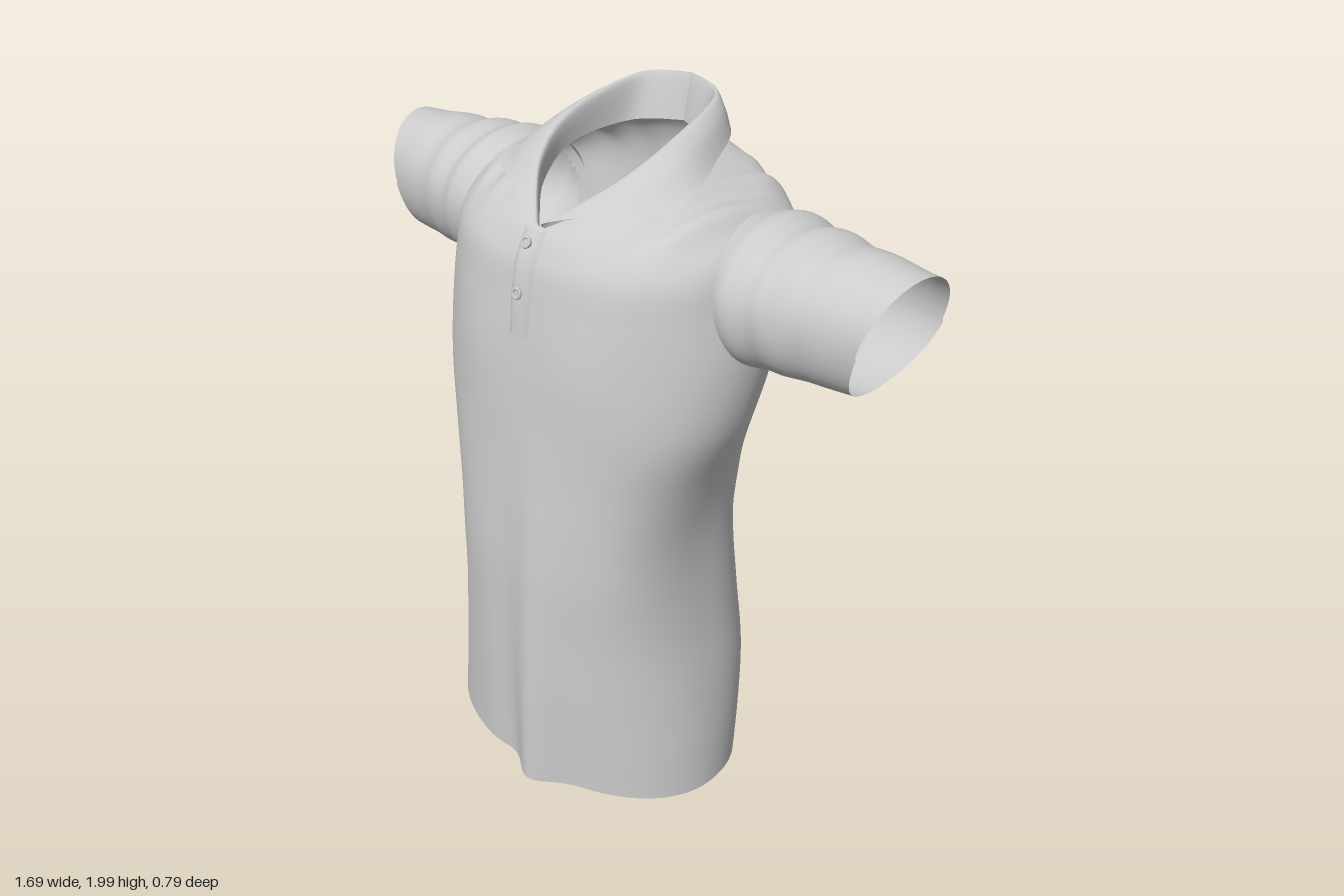
import * as THREE from 'three';

const cloth = new THREE.MeshStandardMaterial({ color: 0xcccccc, side: THREE.DoubleSide });
const solid = new THREE.MeshStandardMaterial({ color: 0xcccccc });

// Catmull-Rom interpolation of equally long rows of numbers, t in 0..1
function spline(rows, t) {
  const n = rows.length - 1, f = Math.min(t * n, n - 1e-6), i = Math.floor(f), u = f - i;
  const at = k => rows[Math.max(0, Math.min(n, k))];
  const [a, b, c, d] = [at(i - 1), at(i), at(i + 1), at(i + 2)];
  return b.map((v, k) => v + 0.5 * u * (c[k] - a[k] + u * (2 * a[k] - 5 * v + 4 * c[k] - d[k]
    + u * (3 * (v - c[k]) + d[k] - a[k]))));
}

// Grid surface from point(u, v); closed joins u = 1 to u = 0; skip leaves holes
function surface(name, nu, nv, point, closed = false, skip = () => false) {
  const pos = [], index = [], cols = closed ? nu : nu + 1;
  for (let j = 0; j <= nv; j++)
    for (let i = 0; i < cols; i++) pos.push(...point(i / nu, j / nv));
  for (let j = 0; j < nv; j++)
    for (let i = 0; i < nu; i++) {
      const a = j * cols + i, b = j * cols + (i + 1) % cols, c = a + cols, d = b + cols;
      const mid = [0, 1, 2].map(k => (pos[a * 3 + k] + pos[b * 3 + k] + pos[c * 3 + k] + pos[d * 3 + k]) / 4);
      if (!skip(mid)) index.push(a, c, b, b, c, d);
    }
  const g = new THREE.BufferGeometry();
  g.setAttribute('position', new THREE.Float32BufferAttribute(pos, 3));
  g.setIndex(index);
  g.computeVertexNormals();
  const mesh = new THREE.Mesh(g, cloth);
  mesh.name = name;
  return mesh;
}

const bump = (x, width) => Math.exp(-((x / width) ** 2));
const power = (v, e) => Math.sign(v) * Math.abs(v) ** e;

// y front, y side, y back, half width right, half width left, z front, z back, z of widest line,
// front exponent, back exponent (below 1 is squarer, above 1 more pointed)
const bodyRows = [
  [0.13, 0.10, 0.01, 0.48, 0.43, 0.35, -0.32, 0.02, 1, 1],
  [0.27, 0.25, 0.22, 0.46, 0.42, 0.352, -0.345, 0.01, 0.97, 0.97],
  [0.43, 0.42, 0.41, 0.435, 0.40, 0.354, -0.36, 0, 0.92, 0.92],
  [0.62, 0.62, 0.62, 0.40, 0.37, 0.352, -0.325, 0, 0.84, 0.83],
  [0.80, 0.80, 0.80, 0.38, 0.355, 0.35, -0.27, 0, 0.76, 0.7],
  [0.95, 0.95, 0.95, 0.385, 0.36, 0.343, -0.245, 0, 0.75, 0.68],
  [1.10, 1.10, 1.10, 0.415, 0.39, 0.335, -0.315, 0.01, 0.82, 0.95],
  [1.28, 1.28, 1.28, 0.455, 0.45, 0.325, -0.365, 0.01, 0.92, 1.15],
  [1.45, 1.45, 1.45, 0.47, 0.47, 0.31, -0.38, -0.02, 0.95, 1.02],
  [1.56, 1.60, 1.60, 0.46, 0.46, 0.295, -0.38, -0.07, 0.88, 0.82],
  [1.65, 1.71, 1.73, 0.44, 0.44, 0.28, -0.375, -0.1, 0.85, 0.74],
  [1.70, 1.79, 1.81, 0.37, 0.37, 0.26, -0.36, -0.09, 0.9, 0.8],
  [1.74, 1.83, 1.86, 0.27, 0.27, 0.235, -0.335, -0.06, 1, 0.9],
  [1.76, 1.87, 1.89, 0.17, 0.17, 0.20, -0.30, -0.04, 1, 1],
];

function bodyPoint(u, v) {
  const [yF, yS, yB, wR, wL, zF, zB, zS, eF, eB] = spline(bodyRows, v);
  const a = u * Math.PI * 2, c = Math.cos(a), s = Math.sin(a), front = s > 0;
  const k = front ? eF : eB;
  const x = power(c, k) * (c > 0 ? wL : wR);
  let y = yS + ((front ? yF : yB) - yS) * s * s;
  let z = zS + (front ? zF - zS : zS - zB) * power(s, k);
  if (front) {
    // Pleat running up from the hem, and shallow folds on the chest
    const low = Math.max(0, 1 - y / 1.25);
    z += s * low * (0.055 * bump(x - 0.06, 0.07) - 0.015 * bump(x + 0.04, 0.06));
    z += s * 0.01 * bump(Math.abs(x) - 0.2, 0.12) * bump(y - 1.42, 0.14);
  } else {
    // Swags hanging in a V across the back, over a hollow at the waist
    const w = y - 0.93 - 1.2 * (Math.hypot(x, 0.12) - 0.12);
    z += s * 0.012 * Math.sin(w * 27 + x * 2) * bump(w - 0.1, 0.24);
    z -= s * 0.025 * bump(x, 0.16) * bump(y - 0.92, 0.1);
    // Ridges below the neck and waves at the hem
    z += s * 0.012 * Math.cos(x * 34 + 0.5) * bump(y - 1.55, 0.22) * bump(x, 0.28);
    z += s * 0.01 * Math.sin(x * 15 + 1) * bump(y - 0.2, 0.3);
  }
  // Gathers on the shoulders
  y += 0.009 * Math.sin(x * 60 + z * 14) * bump(y - 1.8, 0.06) * bump(Math.abs(x) - 0.32, 0.12);
  return [x, y, z];
}

const inArmhole = ([x, y, z]) =>
  Math.abs(x) > 0.34 && ((y - 1.615) / 0.16) ** 2 + ((z + 0.115) / 0.175) ** 2 < 1;

// x, centre y, centre z, half height, half depth
const sleeveRows = [
  [0.36, 1.622, -0.115, 0.163, 0.19],
  [0.44, 1.62, -0.115, 0.18, 0.21],
  [0.54, 1.615, -0.115, 0.172, 0.195],
  [0.66, 1.61, -0.12, 0.165, 0.172],
  [0.80, 1.605, -0.12, 0.155, 0.148],
];

function sleeve(side) {
  return surface(side > 0 ? 'leftSleeve' : 'rightSleeve', 72, 44, (u, v) => {
    const [x0, cy, cz, h, d] = spline(sleeveRows, v);
    const a = u * Math.PI * 2, s = Math.sin(a), c = Math.cos(a);
    // Slanted cuff, and creases that die out at both ends
    const x = x0 + v * v * (0.045 * s - 0.02 * c - (s < 0 ? 0.01 * s * s : 0.005));
    const r = 1 + 0.04 * Math.sin(v * 24 + 2.2 * Math.sin(a + 0.7 * side)) * bump(v - 0.48, 0.3) * (0.6 + 0.4 * s);
    const z = cz + d * r * c + 0.03 * (s < 0 ? s * s : 0);
    return [side * x, cy + h * r * s, z];
  }, true);
}

// Collar from the back centre round to the front: neck seam, fold, outer edge
const collarSeam = [[0, 1.88, -0.29], [0.12, 1.87, -0.22], [0.155, 1.85, -0.04], [0.12, 1.79, 0.1], [0.015, 1.74, 0.215]];
const collarFold = [[0, 1.995, -0.315], [0.12, 1.98, -0.26], [0.16, 1.93, -0.05], [0.125, 1.86, 0.1], [0.015, 1.765, 0.235]];
const collarEdge = [[0, 1.91, -0.34], [0.16, 1.90, -0.28], [0.24, 1.87, -0.12], [0.285, 1.84, 0], [0.285, 1.81, 0.095]];

function collarHalf(side) {
  return surface(side > 0 ? 'collarLeft' : 'collarRight', 40, 18, (u, v) => {
    const seam = spline(collarSeam, u), fold = spline(collarFold, u), edge = spline(collarEdge, u);
    const mid = fold.map((f, i) => (f + edge[i]) / 2 + [0.006, 0.018, 0.008 * u][i] * Math.min(1, u * 4));
    const p = spline([seam, fold, mid, edge], v);
    return [side * p[0], p[1], p[2]];
  });
}

export function createModel() {
  const shirt = new THREE.Group();
  shirt.name = 'poloShirt';
  shirt.add(surface('body', 144, 150, bodyPoint, true, inArmhole));
  for (const side of [1, -1]) shirt.add(sleeve(side), collarHalf(side));

  // Button placket lying just proud of the chest
  const placketRows = [[1.49, 0.306], [1.56, 0.3], [1.65, 0.285], [1.7, 0.266], [1.745, 0.238]];
  shirt.add(surface('placket', 6, 16, (u, v) => {
    const [y, z] = spline(placketRows, v);
    const edge = Math.abs(2 * u - 1) ** 6;
    return [-0.01 + (u - 0.5) * 0.066, y, z + 0.008 - 0.012 * edge];
  }));

  // Buttons with a raised rim
  for (const [y, z, tilt] of [[1.72, 0.268, 0.45], [1.6, 0.304, 0.15]]) {
    const button = new THREE.Group();
    button.name = 'button';
    const disc = new THREE.Mesh(new THREE.CylinderGeometry(0.013, 0.013, 0.008, 20), solid);
    disc.rotation.x = Math.PI / 2;
    const rim = new THREE.Mesh(new THREE.TorusGeometry(0.012, 0.004, 8, 20), solid);
    rim.position.z = 0.004;
    button.add(disc, rim);
    button.position.set(-0.01, y, z);
    button.rotation.x = -tilt;
    shirt.add(button);
  }
  return shirt;
}
